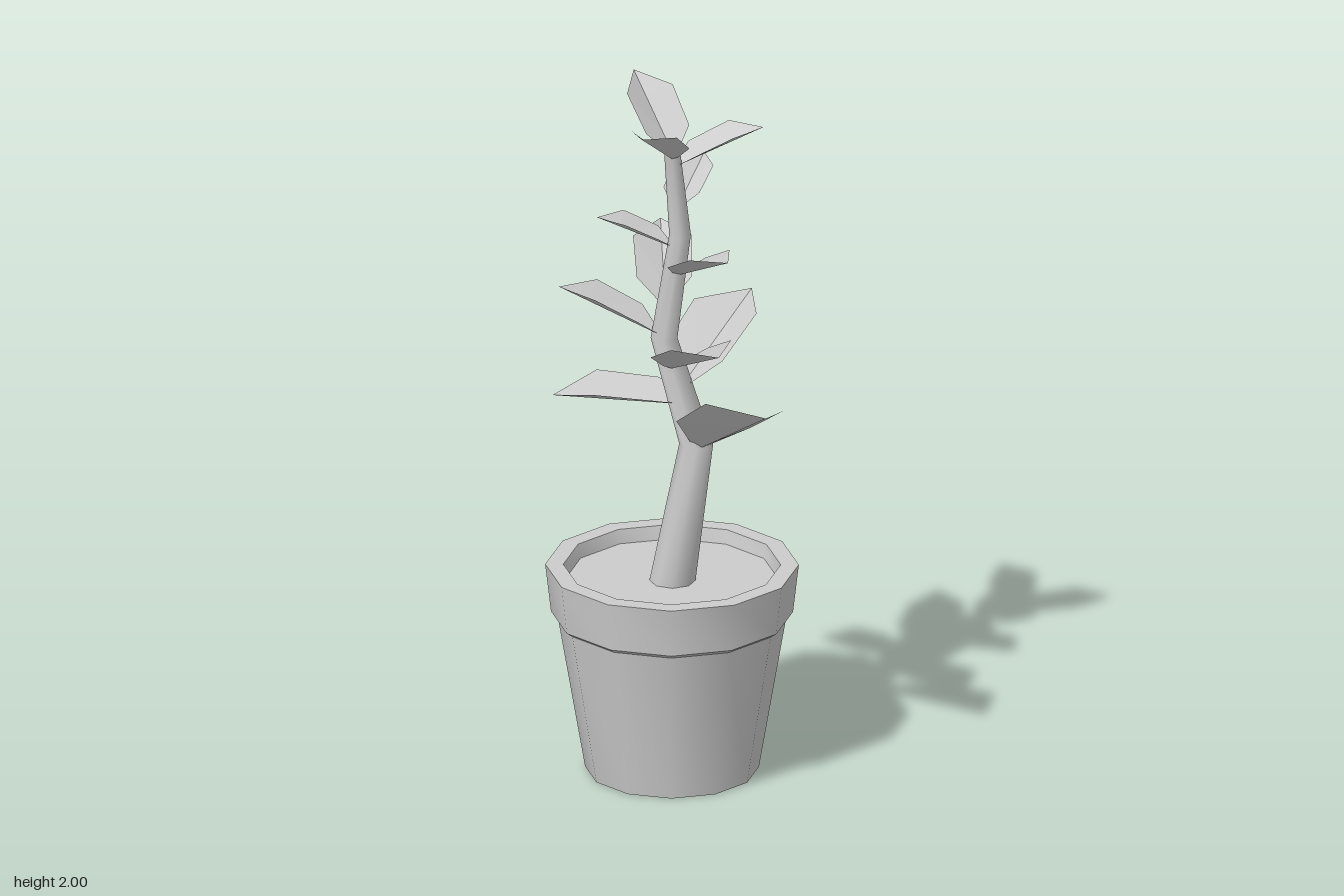
import * as THREE from 'three';
import { toCreasedNormals } from 'three/addons/utils/BufferGeometryUtils.js';

const V = (x, y, z) => new THREE.Vector3(x, y, z);
const grey = new THREE.MeshStandardMaterial({ color: 0xcccccc });
const leafGrey = new THREE.MeshStandardMaterial({ color: 0xcccccc, side: THREE.DoubleSide, flatShading: true });

// Stem joints, bottom to top: centre and radius
const joints = [
  [V(0, 0.55, -0.015), 0.064],
  [V(0.067, 0.97, -0.003), 0.047],
  [V(-0.022, 1.27, -0.038), 0.037],
  [V(0.022, 1.57, -0.055), 0.03],
  [V(0, 1.84, -0.01), 0.022],
];

// Leaves: base, tip, roll about the midrib
const leaves = [
  [V(0.08, 0.97, 0.03), V(0.262, 1.195, 0.375), 0.25],
  [V(0.03, 1.08, -0.02), V(-0.33, 1.1, -0.035), 0],
  [V(0.03, 1.135, -0.03), V(0.218, 1.305, -0.323), 0],
  [V(0, 1.2, 0.015), V(0.132, 1.345, 0.3), 0],
  [V(-0.045, 1.285, -0.035), V(-0.312, 1.42, -0.04), 0],
  [V(-0.02, 1.365, -0.07), V(-0.034, 1.507, -0.338), 0],
  [V(0.02, 1.46, -0.03), V(0.156, 1.57, 0.158), 0],
  [V(-0.005, 1.535, -0.055), V(-0.207, 1.625, -0.043), 0],
  [V(0.015, 1.65, -0.06), V(0.088, 1.742, -0.241), 0],
  [V(0.015, 1.79, -0.015), V(0.252, 1.897, -0.036), 0],
  [V(0, 1.82, 0.01), V(-0.082, 1.957, 0.212), 0],
  [V(0, 1.83, -0.02), V(-0.107, 2, -0.205), 0],
];

// Leaf stations along the midrib: position, half width, lift of the edge (per unit length)
const stations = [[0, 0.07, 0.03], [0.2, 0.25, 0.11], [0.68, 0.265, 0.13], [1, 0, 0]];

function leafGeometry(base, tip, roll) {
  const axis = tip.clone().sub(base);
  const length = axis.length();
  const dir = axis.clone().normalize();
  const side = dir.clone().cross(V(0, 1, 0)).normalize().applyAxisAngle(dir, -roll);
  const up = side.clone().cross(dir);
  const positions = [];
  const index = [];
  stations.forEach(([t, w, h], row) => {
    for (const s of [-1, 0, 1]) {
      const p = base.clone().addScaledVector(axis, t)
        .addScaledVector(side, s * w * length)
        .addScaledVector(up, Math.abs(s) * h * length);
      positions.push(p.x, p.y, p.z);
    }
    if (row === 0) return;
    for (const c of [0, 1]) {
      const a = (row - 1) * 3 + c;
      index.push(a, a + 1, a + 3);
      index.push(a + 1, a + 4, a + 3);
    }
  });
  const geometry = new THREE.BufferGeometry();
  geometry.setAttribute('position', new THREE.Float32BufferAttribute(positions, 3));
  geometry.setIndex(index);
  geometry.computeVertexNormals();
  return geometry;
}

// Straight cylinder whose rings are moved onto the stem joints
function stemGeometry() {
  const geometry = new THREE.CylinderGeometry(1, 1, 1, 8, joints.length - 1);
  const pos = geometry.attributes.position;
  for (let i = 0; i < pos.count; i++) {
    const [c, r] = joints[Math.round((pos.getY(i) + 0.5) * (joints.length - 1))];
    pos.setXYZ(i, c.x + pos.getX(i) * r, c.y, c.z + pos.getZ(i) * r);
  }
  return toCreasedNormals(geometry, 0.9);
}

export function createModel() {
  const model = new THREE.Group();
  model.name = 'pottedPlant';
  const add = (name, geometry, material, parent = model) => {
    const mesh = new THREE.Mesh(geometry, material);
    mesh.name = name;
    parent.add(mesh);
    return mesh;
  };

  // Twelve-sided pot with an overhanging rim
  const profile = [[0, 0], [0.24, 0], [0.316, 0.447], [0.334, 0.46], [0.35, 0.6], [0.3, 0.6], [0.29, 0.55]];
  const pot = new THREE.LatheGeometry(profile.map(([r, y]) => new THREE.Vector2(r, y)), 12);
  add('pot', toCreasedNormals(pot, 0.6), grey).position.z = -0.03;

  // Soil disc
  const soil = new THREE.CircleGeometry(0.292, 12).rotateX(-Math.PI / 2);
  add('soil', soil, grey).position.set(0, 0.56, -0.03);

  add('stem', stemGeometry(), grey);

  // Folded leaves up the stem
  const foliage = new THREE.Group();
  foliage.name = 'foliage';
  model.add(foliage);
  leaves.forEach((leaf, i) => add('leaf' + (i + 1), leafGeometry(...leaf), leafGrey, foliage));

  return model;
}
